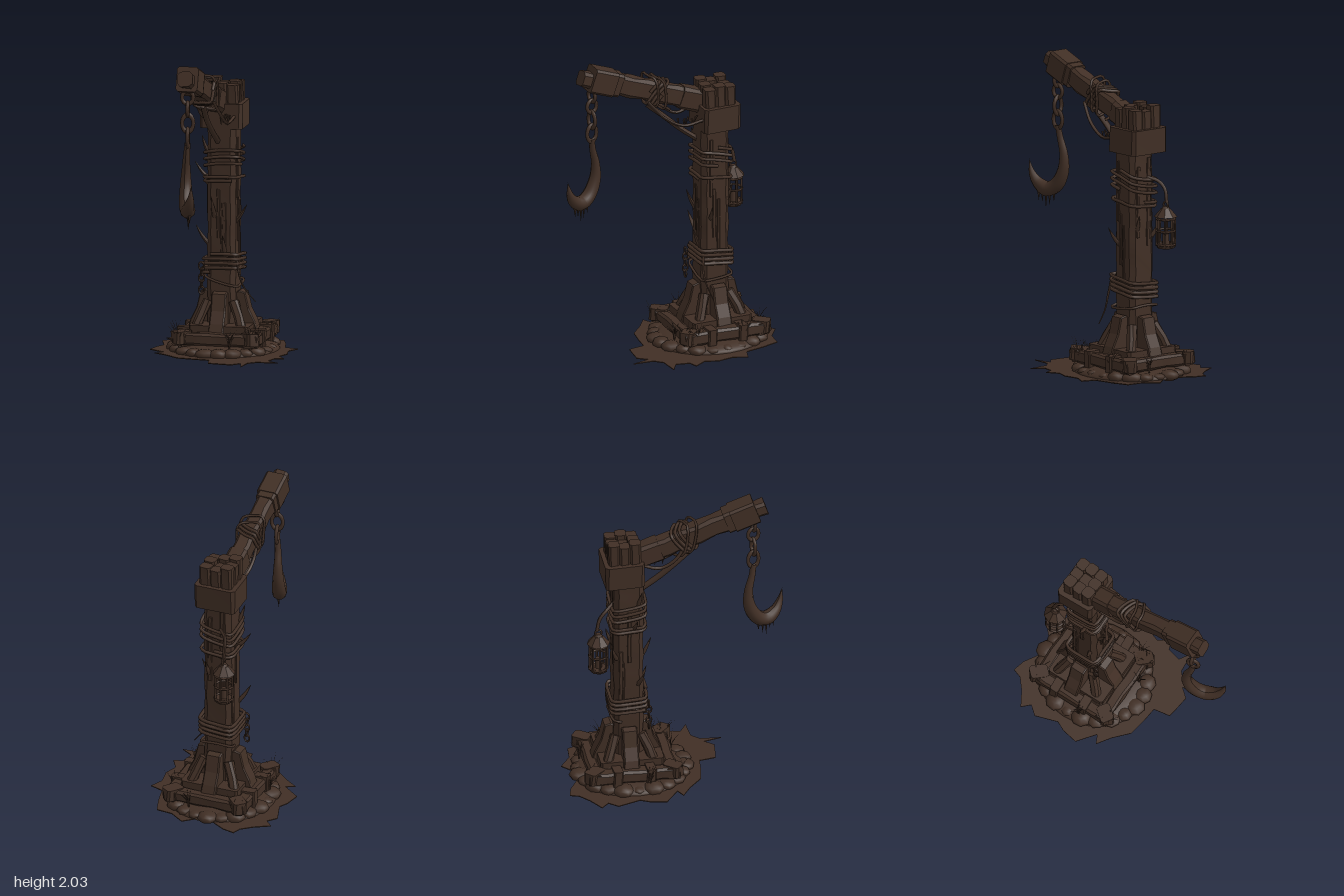
import * as THREE from 'three';
import { toCreasedNormals } from 'three/addons/utils/BufferGeometryUtils.js';

const V = (x, y, z) => new THREE.Vector3(x, y, z);

export function createModel() {
  const root = new THREE.Group();
  root.name = 'hookPost';
  const wood = new THREE.MeshStandardMaterial({ color: 0x412f25 });
  wood.name = 'dark weathered brown';
  let seed = 7;
  const rnd = (a, b) => {
    seed = (seed * 16807) % 2147483647;
    return a + (b - a) * (seed / 2147483647);
  };

  const add = (parent, name, geo, x = 0, y = 0, z = 0) => {
    const mesh = new THREE.Mesh(geo, wood);
    mesh.name = name;
    mesh.position.set(x, y, z);
    parent.add(mesh);
    return mesh;
  };
  const group = (parent, name, x = 0, y = 0, z = 0) => {
    const g = new THREE.Group();
    g.name = name;
    g.position.set(x, y, z);
    parent.add(g);
    return g;
  };

  // Timber: chamfered box running along y, roughened by a smooth rule
  const timber = (w, h, d, c = 0.015, rough = 0.004) => {
    const a = w / 2, b = d / 2;
    const s = new THREE.Shape([
      [-a + c, -b], [a - c, -b], [a, -b + c], [a, b - c], [a - c, b], [-a + c, b], [-a, b - c], [-a, -b + c],
    ].map(([x, y]) => new THREE.Vector2(x, y)));
    const geo = new THREE.ExtrudeGeometry(s, { depth: h, steps: Math.max(1, Math.round(h / 0.12)), bevelEnabled: false });
    geo.rotateX(-Math.PI / 2).translate(0, -h / 2, 0);
    const p = geo.attributes.position;
    for (let i = 0; i < p.count; i++) {
      const x = p.getX(i), y = p.getY(i), z = p.getZ(i);
      p.setX(i, x + rough * Math.sin(y * 31 + z * 40));
      p.setZ(i, z + rough * Math.sin(y * 27 + x * 50 + 2));
    }
    return toCreasedNormals(geo, 0.4);
  };

  // Tube whose radius follows a function of t
  const taper = (pts, radius, segs = 12, sides = 6) => {
    const curve = new THREE.CatmullRomCurve3(pts);
    const geo = new THREE.TubeGeometry(curve, segs, 1, sides);
    const p = geo.attributes.position, v = V(0, 0, 0);
    for (let i = 0; i <= segs; i++) {
      const c = curve.getPointAt(i / segs);
      for (let j = 0; j <= sides; j++) {
        const k = i * (sides + 1) + j;
        v.fromBufferAttribute(p, k).sub(c).multiplyScalar(radius(i / segs)).add(c);
        p.setXYZ(k, v.x, v.y, v.z);
      }
    }
    geo.computeVertexNormals();
    return geo;
  };

  // Rope wound around a squared timber
  const rope = (parent, name, hx, hz, y0, y1, turns, tilt, phase, r = 0.011) => {
    const pts = [], n = Math.ceil(turns * 16);
    const sq = (t) => THREE.MathUtils.clamp(1.3 * t, -1, 1);
    for (let i = 0; i <= n; i++) {
      const a = phase + (i / n) * turns * Math.PI * 2;
      pts.push(V(hx * sq(Math.cos(a)), y0 + (y1 - y0) * i / n + tilt * Math.sin(a + 0.6), hz * sq(Math.sin(a))));
    }
    add(parent, name, new THREE.TubeGeometry(new THREE.CatmullRomCurve3(pts), n * 2, r, 6));
  };

  // Ragged ground patch
  const outline = [
    -.46, -.55, -.36, -.61, -.29, -.67, -.27, -.73, -.19, -.71, -.09, -.65, 0, -.63, .1, -.72, .2, -.65, .31, -.64,
    .35, -.52, .38, -.39, .47, -.36, .43, -.27, .45, -.16, .42, -.07, .47, .01, .41, .03, .39, .12, .47, .17,
    .33, .18, .28, .23, .27, .37, .24, .25, .19, .31, .1, .3, .03, .29, .01, .18, -.09, .17, -.21, .15, -.31, .06,
    -.4, 0, -.34, -.03, -.46, -.12, -.44, -.23, -.41, -.29, -.46, -.44, -.41, -.5,
  ];
  const edge = [];
  for (let i = 0; i < outline.length; i += 2) edge.push(new THREE.Vector2(outline[i], -outline[i + 1]));
  add(root, 'groundPatch', new THREE.ExtrudeGeometry(new THREE.Shape(edge), { depth: 0.006, bevelEnabled: false }).rotateX(-Math.PI / 2));

  // Earth mound and ring of stones
  add(root, 'earthMound', new THREE.SphereGeometry(1, 28, 8, 0, Math.PI * 2, 0, Math.PI / 2).scale(0.36, 0.075, 0.39), 0, 0.004, -0.28);
  for (let i = 0; i < 22; i++) {
    const a = (i / 22) * Math.PI * 2, s = rnd(0.04, 0.075);
    const m = add(root, 'stone', new THREE.SphereGeometry(s, 8, 6), 0.31 * Math.cos(a), 0.02, -0.28 + 0.35 * Math.sin(a));
    m.scale.set(1, rnd(0.45, 0.7), 1);
    m.rotation.y = a;
  }

  // Plinth of crossed beams
  const base = group(root, 'plinth', 0, 0, -0.3);
  add(base, 'lowerSlab', timber(0.5, 0.1, 0.5), 0, 0.08, 0);
  add(base, 'upperSlab', timber(0.4, 0.07, 0.42), 0, 0.145, 0);
  for (const s of [-1, 1]) {
    const side = add(base, 'sideBeam', timber(0.085, 0.6, 0.085), s * 0.24, 0.1, 0);
    side.rotation.x = Math.PI / 2;
    const cross = add(base, 'crossBeam', timber(0.08, 0.56, 0.08), 0, 0.1, s * 0.25);
    cross.rotation.z = Math.PI / 2;
    for (const t of [-1, 1]) {
      const block = add(base, 'cornerBlock', timber(0.09, 0.08, 0.12), s * 0.23, 0.11, t * 0.26);
      block.rotation.set(rnd(-0.15, 0.15), s * t * 0.7, 0);
      add(base, 'beamStrap', timber(0.1, 0.11, 0.06, 0.008), s * 0.245, 0.1, t * 0.11);
    }
  }

  // Sloping buttresses on the four sides
  const profile = new THREE.Shape([[0.06, 0.1], [0.24, 0.1], [0.21, 0.19], [0.17, 0.27], [0.145, 0.375], [0.11, 0.385], [0.06, 0.36]]
    .map(([x, y]) => new THREE.Vector2(x, y)));
  for (let i = 0; i < 4; i++) {
    const b = group(root, 'buttress', -0.01, 0, -0.31);
    b.rotation.y = i * Math.PI / 2;
    add(b, 'buttressPlank', new THREE.ExtrudeGeometry(profile, { depth: 0.085, bevelEnabled: true, bevelSize: 0.006, bevelThickness: 0.008, bevelSegments: 1 }), 0, 0, -0.042);
    const stake = add(b, 'cornerStake', timber(0.06, 0.22, 0.06), 0.125, 0.23, 0.125);
    stake.rotation.set(-0.35, 0, 0.35);
  }

  // Post with collar and splintered head
  const post = group(root, 'post', -0.01, 0, -0.307);
  add(post, 'postShaft', timber(0.19, 1.42, 0.195, 0.03), 0, 0.79, 0);
  add(post, 'collar', timber(0.285, 0.165, 0.26, 0.02, 0.005), -0.005, 1.548, -0.03);
  for (let i = 0; i < 9; i++) {
    const x = (i % 3 - 1) * 0.074, z = (Math.floor(i / 3) - 1) * 0.07;
    const top = i === 4 ? 1.735 : rnd(1.745, 1.78);
    add(post, 'headSplinter', timber(0.078, top - 1.5, 0.074, 0.014, 0.003), x - 0.005, (top + 1.5) / 2, z - 0.03);
  }
  // Raised grain strips
  for (let i = 0; i < 12; i++) {
    const q = group(post, 'grain');
    q.rotation.y = (i % 4) * Math.PI / 2;
    add(q, 'grainStrip', timber(rnd(0.015, 0.03), rnd(0.25, 0.5), 0.012, 0.004, 0.002), rnd(-0.055, 0.055), rnd(0.65, 1.25), 0.097);
  }

  // Ropes on the post
  rope(post, 'upperRope', 0.113, 0.113, 1.2, 1.33, 3, 0.035, 0);
  rope(post, 'middleRope', 0.111, 0.111, 1.11, 1.15, 1.6, 0.015, 1);
  rope(post, 'lowerRope', 0.118, 0.118, 0.51, 0.63, 4, 0.015, 2, 0.012);
  rope(post, 'slackRope', 0.113, 0.113, 0.4, 0.58, 1.5, -0.04, 3.5, 0.009);
  add(post, 'ropeTail', taper([V(0.11, 0.6, 0.1), V(0.13, 0.5, 0.11), V(0.16, 0.42, 0.1), V(0.23, 0.33, 0.08)], (t) => 0.009 - 0.006 * t));
  for (let i = 0; i < 5; i++) {
    const link = add(post, 'hangingLink', new THREE.TorusGeometry(0.018, 0.006, 5, 10), -0.122, 0.56 - i * 0.04, 0.125);
    link.scale.y = 1.4;
    link.rotation.y = i % 2 * Math.PI / 2;
  }

  // Wooden thorns: start point and tip, relative to the post
  const thorns = [
    [0.08, 0.84, 0.04, 0.17, 0.97, 0.06], [-0.09, 1.12, 0.03, -0.19, 1.24, 0.04], [-0.09, 0.7, 0.06, -0.17, 0.83, 0.09],
    [-0.04, 0.88, 0.09, -0.05, 1.03, 0.155], [0.03, 0.64, 0.09, 0.02, 0.77, 0.135], [-0.08, 0.9, -0.08, -0.13, 1.02, -0.12],
    [-0.09, 1.3, 0.06, -0.13, 1.42, 0.08], [0.05, 0.95, -0.09, 0.06, 1.06, -0.13],
  ];
  for (const [a, b, c, d, e, f] of thorns) {
    add(post, 'thorn', taper([V(a, b, c), V((a + d) / 2, (b + e) / 2 - 0.01, (c + f) / 2), V(d, e, f)], (t) => 0.015 * (1 - t * t), 6, 5));
  }

  // Raised arm with end band
  const arm = group(root, 'arm', -0.045, 1.895, 0.46);
  arm.rotation.x = -0.342;
  const along = group(arm, 'armTimbers');
  along.rotation.x = Math.PI / 2;
  add(along, 'armBeam', timber(0.108, 0.78, 0.135, 0.02, 0.005), 0, -0.38, 0);
  add(along, 'endBand', timber(0.145, 0.17, 0.165, 0.015, 0), 0, 0, 0);
  add(along, 'innerBand', timber(0.125, 0.06, 0.155, 0.015, 0), 0, -0.1, 0);
  add(along, 'armStub', timber(0.1, 0.07, 0.1, 0.02), 0, 0.115, 0.01);
  add(along, 'armRoot', timber(0.125, 0.16, 0.15, 0.02), 0, -0.67, 0);
  rope(along, 'armRope', 0.068, 0.082, -0.46, -0.37, 3, 0.05, 0);
  rope(along, 'looseArmRope', 0.074, 0.095, -0.47, -0.35, 2, -0.07, 1, 0.009);

  // Struts and slack vines under the arm
  add(root, 'armStrut', taper([V(-0.04, 1.68, 0.14), V(-0.05, 1.56, 0), V(-0.04, 1.47, -0.1), V(-0.03, 1.38, -0.22)], () => 0.02));
  add(root, 'vine', taper([V(0.03, 1.72, 0.16), V(0.06, 1.6, 0.05), V(0.07, 1.53, -0.08), V(0.08, 1.55, -0.22)], () => 0.011, 16));
  add(root, 'vine', taper([V(-0.1, 1.76, 0.08), V(-0.1, 1.62, 0), V(-0.09, 1.56, -0.1), V(-0.1, 1.6, -0.22)], () => 0.011, 16));
  for (let i = 0; i < 7; i++) {
    const m = add(root, 'vineFray', new THREE.ConeGeometry(0.008, 0.06, 4), 0.03 + 0.02 * (i % 3), 1.54, -0.18 + i * 0.02);
    m.rotation.x = Math.PI + rnd(-0.5, 0.5);
  }

  // Chain
  for (let i = 0; i < 4; i++) {
    const link = add(root, 'chainLink', new THREE.TorusGeometry(0.037, 0.0125, 8, 16), -0.045, [1.8, 1.725, 1.63, 1.535][i], 0.525);
    link.scale.y = i < 2 ? 1.15 : 1.5;
    link.rotation.y = i % 2 ? Math.PI / 2 + 0.2 : 0.2;
  }

  // Hook with drips
  add(root, 'hook', taper([
    V(-0.045, 1.5, 0.525), V(-0.055, 1.42, 0.515), V(-0.065, 1.31, 0.49), V(-0.065, 1.2, 0.495), V(-0.05, 1.1, 0.545),
    V(-0.025, 1.065, 0.61), V(0, 1.1, 0.675), V(0.02, 1.16, 0.71), V(0.03, 1.255, 0.73),
  ], (t) => 0.02 + 0.029 * Math.sin(Math.PI * Math.min(1, t * 0.75)) ** 2 - 0.036 * Math.max(0, t - 0.7) / 0.3, 40, 10));
  [[0.56, 0.06], [0.59, 0.09], [0.615, 0.11], [0.64, 0.07], [0.665, 0.06]].forEach(([z, h]) => {
    add(root, 'hookDrip', new THREE.ConeGeometry(0.011, h, 5).rotateX(Math.PI), -0.04 + (z - 0.56) * 0.4, 1.045 - h / 2, z);
  });

  // Lantern on its bracket
  const lamp = group(root, 'lantern', -0.11, 0, -0.512);
  add(lamp, 'bracket', taper([V(0.07, 1.3, 0.11), V(0.02, 1.28, 0.06), V(0, 1.23, 0.01), V(0, 1.14, -0.01)], () => 0.012));
  add(lamp, 'lanternRing', new THREE.TorusGeometry(0.022, 0.007, 6, 12), 0, 1.125, 0).rotation.y = Math.PI / 2;
  add(lamp, 'lanternRoof', toCreasedNormals(new THREE.CylinderGeometry(0.03, 0.077, 0.055, 8), 0.5), 0, 1.075, 0);
  add(lamp, 'lanternCap', new THREE.CylinderGeometry(0.018, 0.03, 0.02, 8), 0, 1.108, 0);
  for (const y of [0.865, 0.955, 1.035]) {
    add(lamp, 'lanternHoop', new THREE.TorusGeometry(0.06, 0.008, 5, 16).rotateX(Math.PI / 2), 0, y, 0);
  }
  add(lamp, 'lanternFloor', new THREE.CylinderGeometry(0.066, 0.055, 0.025, 8), 0, 0.852, 0);
  add(lamp, 'candle', new THREE.CylinderGeometry(0.02, 0.024, 0.07, 8), 0, 0.9, 0);
  for (let i = 0; i < 8; i++) {
    const a = i * Math.PI / 4;
    add(lamp, 'lanternBar', new THREE.CylinderGeometry(0.007, 0.007, 0.2, 5), 0.06 * Math.cos(a), 0.95, 0.06 * Math.sin(a));
  }

  // Grass tufts
  for (const [x, z, h] of [[0.26, -0.1, 0.15], [0.23, -0.02, 0.14], [0.1, 0.0, 0.12], [-0.3, -0.2, 0.13], [-0.24, 0.0, 0.12], [0.28, -0.42, 0.13], [-0.2, -0.58, 0.11], [0.1, -0.6, 0.12]]) {
    const tuft = group(root, 'grassTuft', x, 0.05, z);
    for (let i = 0; i < 10; i++) {
      const a = rnd(0, 6.28), r = rnd(0.02, 0.08), k = h * rnd(0.7, 1.2);
      add(tuft, 'grassBlade', taper([V(0, 0, 0), V(r * 0.3 * Math.cos(a), k * 0.6, r * 0.3 * Math.sin(a)), V(r * Math.cos(a), k, r * Math.sin(a))], (t) => 0.005 * (1 - t), 4, 3));
    }
  }
  return root;
}
